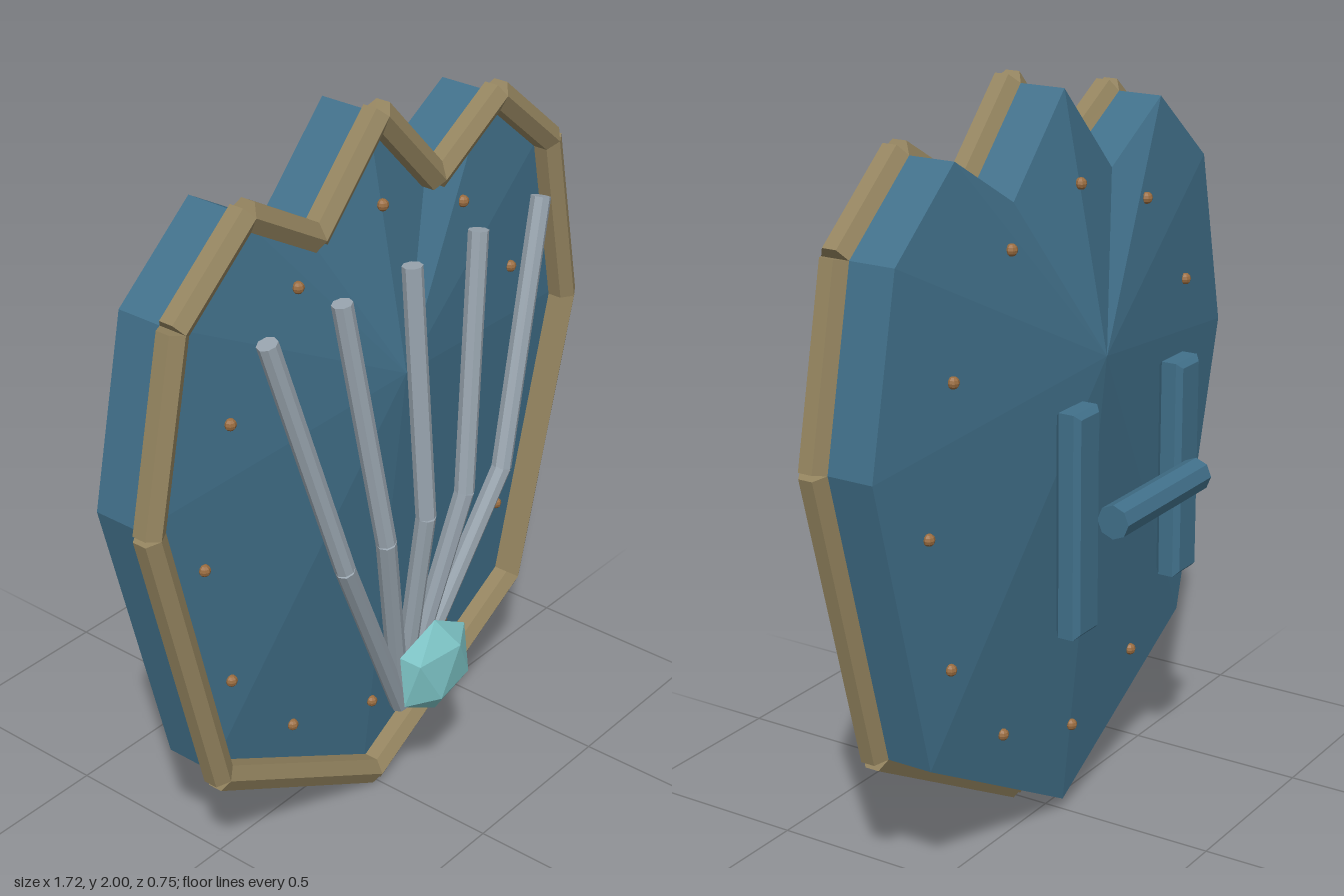
import * as THREE from 'three';

const mat = (name, color) => {
  const m = new THREE.MeshStandardMaterial({ color, flatShading: true });
  m.name = name;
  return m;
};

export function createModel() {
  const root = new THREE.Group();
  root.name = 'shield';
  const teal = mat('teal hide', 0x41708a);
  const bronze = mat('dull bronze', 0x94845f);
  const steel = mat('grey steel', 0x98a4ae);
  const crystal = mat('pale aqua crystal', 0x7dc4c6);
  const copper = mat('copper', 0x996c40);

  const add = (name, geometry, material, parent = root) => {
    const mesh = new THREE.Mesh(geometry, material);
    mesh.name = name;
    parent.add(mesh);
    return mesh;
  };
  const group = (name) => {
    const g = new THREE.Group();
    g.name = name;
    root.add(g);
    return g;
  };
  // Straight bar between two points
  const bar = (name, a, b, radius, sides, material, parent) => {
    const dir = b.clone().sub(a);
    const mesh = add(name, new THREE.CylinderGeometry(radius, radius, dir.length(), sides), material, parent);
    mesh.position.copy(a).add(b).multiplyScalar(0.5);
    mesh.quaternion.setFromUnitVectors(new THREE.Vector3(0, 1, 0), dir.normalize());
    return mesh;
  };

  // Outline, counter-clockwise from the bottom point, mirrored to the other side
  const half = [[0, 0.033], [0.615, 0.375], [0.825, 1.19], [0.72, 1.68], [0.478, 1.88], [0.23, 1.735], [0, 1.975]];
  const outline = [...half, ...half.slice(1, -1).reverse().map(([x, y]) => [-x, y])];
  const n = outline.length;
  const apexY = 1.31, frontEdge = 0.085, backEdge = -0.055, frontApex = 0.215, backApex = -0.183;

  // Body: straight side wall with a shallow faceted cone on each face
  const pos = [];
  outline.forEach(([x0, y0], i) => {
    const [x1, y1] = outline[(i + 1) % n];
    pos.push(0, apexY, frontApex, x0, y0, frontEdge, x1, y1, frontEdge);
    pos.push(0, apexY, backApex, x1, y1, backEdge, x0, y0, backEdge);
    pos.push(x0, y0, frontEdge, x0, y0, backEdge, x1, y1, backEdge);
    pos.push(x0, y0, frontEdge, x1, y1, backEdge, x1, y1, frontEdge);
  });
  const bodyGeo = new THREE.BufferGeometry();
  bodyGeo.setAttribute('position', new THREE.Float32BufferAttribute(pos, 3));
  bodyGeo.computeVertexNormals();
  add('body', bodyGeo, teal);

  // Rim of six-sided bars
  const rim = group('rim');
  outline.forEach(([x, y], i) => {
    const [x1, y1] = outline[(i + 1) % n];
    bar('rimBar', new THREE.Vector3(x, y, 0.113), new THREE.Vector3(x1, y1, 0.113), 0.04, 6, bronze, rim);
  });

  // How far a point lies from the apex (0) to the outline (1)
  const reach = (px, py) => {
    for (let i = 0; i < n; i++) {
      const [ax, ay] = outline[i], [bx, by] = outline[(i + 1) % n];
      const ux = ax, uy = ay - apexY, vx = bx, vy = by - apexY, qx = px, qy = py - apexY;
      const det = ux * vy - uy * vx;
      const s = (qx * vy - qy * vx) / det, t = (ux * qy - uy * qx) / det;
      if (s >= -1e-6 && t >= -1e-6) return s + t;
    }
    return 1;
  };

  // Rivets in an oval on both faces
  const rivets = group('rivets');
  const rivetGeo = new THREE.SphereGeometry(0.016, 8, 6);
  for (let i = 0; i < 12; i++) {
    const a = (i * Math.PI) / 6;
    const x = 0.64 * Math.sin(a), y = 1.003 + 0.74 * Math.cos(a), t = reach(x, y);
    add('frontRivet', rivetGeo, copper, rivets).position.set(x, y, THREE.MathUtils.lerp(frontApex, frontEdge, t) + 0.004);
    add('backRivet', rivetGeo, copper, rivets).position.set(x, y, THREE.MathUtils.lerp(backApex, backEdge, t) - 0.004);
  }

  // Five bent ribs fanning out from the base
  const ribs = group('ribs');
  for (let i = -2; i <= 2; i++) {
    const base = new THREE.Vector3(0, 0.3, 0.21);
    const knee = new THREE.Vector3(i * 0.162, 0.92, 0.285);
    const tip = new THREE.Vector3(i * 0.267, 1.61, 0.228);
    bar('lowerRib', base, knee, 0.027, 8, steel, ribs);
    bar('upperRib', knee, tip, 0.027, 8, steel, ribs);
  }

  // Flattened gem over the rib base
  const gem = add('gem', new THREE.IcosahedronGeometry(0.143, 0).rotateZ(-Math.PI / 6).scale(1, 1, 0.445), crystal);
  gem.position.set(0, 0.478, 0.324);

  // Handle behind: two bevelled uprights and a cross grip
  const handle = group('handle');
  const w = 0.055, h = 0.295, b = 0.014;
  const rect = new THREE.Shape([[-w + b, -h + b], [w - b, -h + b], [w - b, h - b], [-w + b, h - b]].map(([x, y]) => new THREE.Vector2(x, y)));
  const uprightGeo = new THREE.ExtrudeGeometry(rect, {
    depth: 0.07 - 2 * b, bevelEnabled: true, bevelSize: b, bevelThickness: b, bevelSegments: 1,
  }).translate(0, 0, -0.035 + b);
  for (const s of [-1, 1]) add('upright', uprightGeo, teal, handle).position.set(s * 0.25, 0.958, -0.252);
  bar('grip', new THREE.Vector3(-0.21, 0.96, -0.33), new THREE.Vector3(0.21, 0.96, -0.33), 0.045, 8, teal, handle);

  return root;
}
